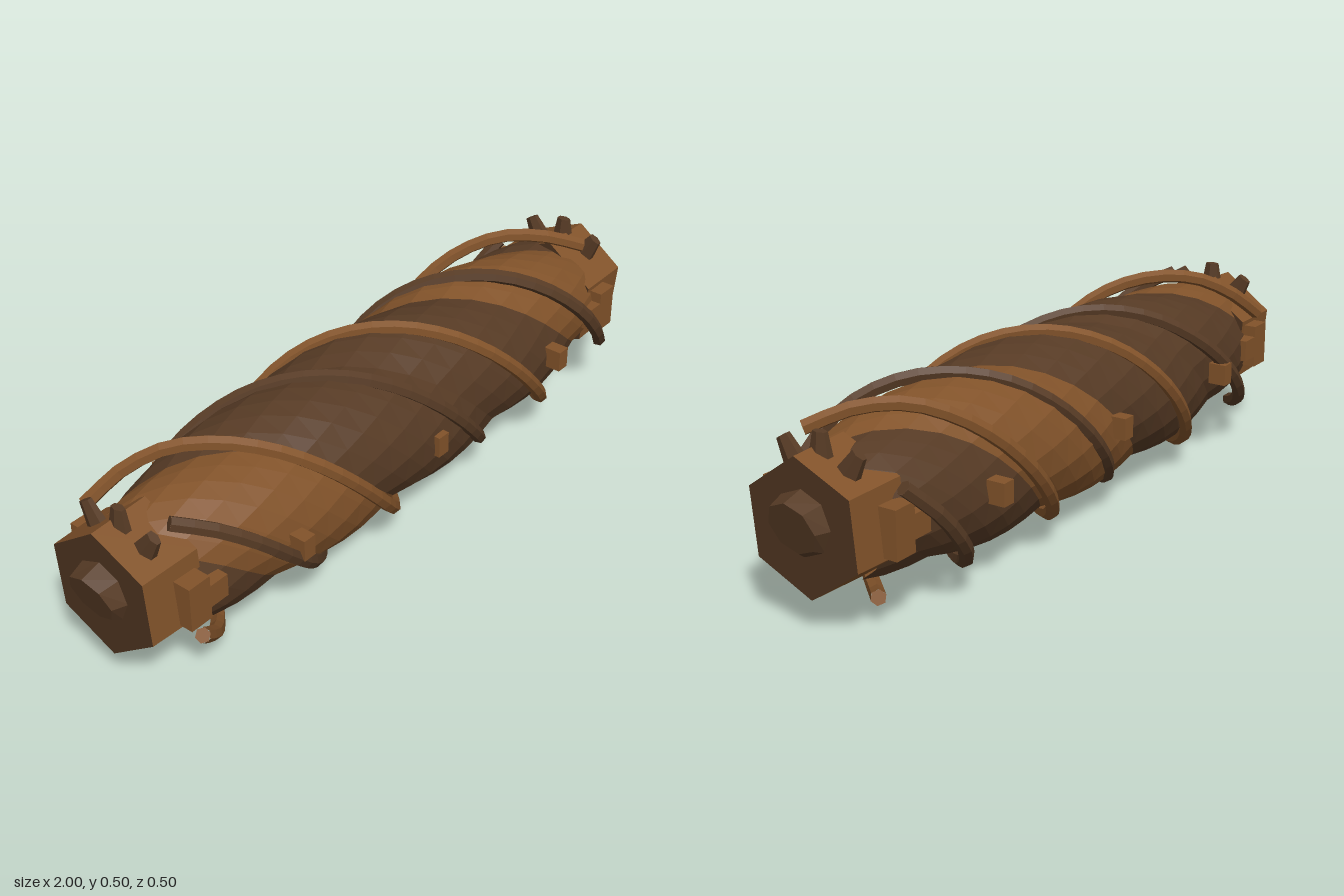
import * as THREE from 'three';

const CY = 0.25;             // height of the long axis
const TURN = 4.79;           // twist in radians per unit of length
const DEG = Math.PI / 180;

const material = (name, color) => {
  const m = new THREE.MeshStandardMaterial({ color, flatShading: true });
  m.name = name;
  return m;
};

// Point on the twisted grip: angle runs from +y towards +z
const around = (x, r, a) => new THREE.Vector3(x, CY + r * Math.cos(a), r * Math.sin(a));

// Radius of the grip, tapering into the collars at both ends
const gripRadius = (x) => 0.148 + 0.083 * Math.pow(Math.max(0, 1 - Math.pow(Math.abs(x) / 0.86, 2.8)), 0.85);

// One third of the grip, a bulging strand that winds along x
function strandGeometry(centre) {
  const along = 28, across = 6, pos = [], idx = [];
  for (let i = 0; i <= along; i++) {
    const x = -0.84 + 1.68 * i / along;
    for (let j = 0; j <= across; j++) {
      const u = j / across;
      const r = gripRadius(x) * (0.9 + 0.085 * Math.sin(Math.PI * u));
      pos.push(...around(x, r, centre + TURN * x + (u - 0.5) * 120 * DEG).toArray());
    }
  }
  for (let i = 0; i < along; i++) {
    for (let j = 0; j < across; j++) {
      const a = i * (across + 1) + j, b = a + 1, c = a + across + 1, d = c + 1;
      idx.push(a, b, c, b, d, c);
    }
  }
  const g = new THREE.BufferGeometry();
  g.setAttribute('position', new THREE.Float32BufferAttribute(pos, 3));
  g.setIndex(idx);
  g.computeVertexNormals();
  return g;
}

// End boss: eight-sided stub whose outer face slopes back towards the bottom
function bossGeometry() {
  const g = new THREE.CylinderGeometry(0.066, 0.082, 0.06, 8);
  g.rotateZ(-Math.PI / 2);
  const p = g.attributes.position;
  for (let i = 0; i < p.count; i++) {
    if (p.getX(i) > 0) p.setX(i, 0.03 + 0.3 * (p.getY(i) - 0.066));
  }
  g.computeVertexNormals();
  return g;
}

export function createModel() {
  const model = new THREE.Group();
  model.name = 'twistedGrip';
  const light = material('light wood', 0x82532a);
  const dark = material('dark wood', 0x573b25);
  const end = material('end grain', 0x4c331f);

  const add = (parent, name, geometry, mat) => {
    const mesh = new THREE.Mesh(geometry, mat);
    mesh.name = name;
    parent.add(mesh);
    return mesh;
  };
  const box = (parent, name, w, h, d, x, y, z) => {
    add(parent, name, new THREE.BoxGeometry(w, h, d), light).position.set(x, y, z);
  };

  // Three thick strands of the grip
  [light, dark, dark].forEach((mat, k) => {
    add(model, 'strand', strandGeometry((217 + 120 * k) * DEG), mat);
  });

  // Four vines wound round the grip: light ones stand proud, dark ones sink in
  // and drift towards their light neighbours in the middle
  for (let k = 0; k < 4; k++) {
    const sunk = k % 2 === 1;
    const mat = sunk ? dark : light;
    const points = [];
    for (let i = 0; i <= 20; i++) {
      const x = -0.82 + 1.64 * i / 20;
      const inward = 0.82 - Math.abs(x);
      const dip = sunk ? 0.012 * Math.min(1, Math.max(0, (inward - 0.2) / 0.2)) : 0;
      const drift = sunk ? 16 * Math.sin(Math.PI * i / 20) : 0;
      const r = 0.206 + 0.025 * Math.min(1, inward / 0.17) - dip;
      points.push(around(x, r, (29 + 90 * k - drift) * DEG + TURN * (x - 0.82)));
    }
    const curve = new THREE.CatmullRomCurve3(points);
    add(model, 'vine', new THREE.TubeGeometry(curve, 44, 0.019, 6), mat);
    // Closed tips of the vine
    [0, 1].forEach((t) => {
      const tip = add(model, 'vineTip', new THREE.CircleGeometry(0.019, 6), mat);
      const dir = curve.getTangentAt(t).multiplyScalar(t ? 1 : -1);
      tip.position.copy(curve.getPointAt(t));
      tip.quaternion.setFromUnitVectors(new THREE.Vector3(0, 0, 1), dir);
    });
  }

  // Small studs along the front and back
  for (const side of [-1, 1]) {
    for (const x of [-0.525, 0, 0.525]) {
      const out = x === 0 && side > 0 ? 0.239 : 0.248;
      box(model, 'stud', 0.038, 0.058, 0.05, x, 0.253, side * (out - 0.025));
    }
  }

  // Matching fittings at both ends
  for (const turn of [0, Math.PI]) {
    const fitting = new THREE.Group();
    fitting.name = turn ? 'rightEnd' : 'leftEnd';
    fitting.rotation.y = turn;
    model.add(fitting);

    // Six-sided collar with dark end faces
    const collar = new THREE.CylinderGeometry(0.166, 0.172, 0.165, 6);
    collar.rotateZ(-Math.PI / 2).rotateX(-Math.PI / 2 + 0.1);
    add(fitting, 'collar', collar, [light, end, end]).position.set(0.8625, 0.255, 0);

    // Sloping boss on the end
    add(fitting, 'boss', bossGeometry(), dark).position.set(0.97, 0.268, 0);

    // Three blunt spikes on top
    for (const a of [-32, 0, 32]) {
      const spike = new THREE.CylinderGeometry(0.02, 0.034, 0.07, 6);
      spike.rotateY(Math.PI / 6).scale(0.6, 1, 1).translate(0, 0.17, 0).rotateX(a * DEG);
      add(fitting, 'spike', spike, dark).position.set(0.875, 0.255, 0);
    }

    // Cross-shaped side plates
    for (const side of [-1, 1]) {
      box(fitting, 'sidePlate', 0.065, 0.12, 0.05, 0.828, 0.253, side * 0.165);
      box(fitting, 'sidePlateArm', 0.06, 0.06, 0.05, 0.77, 0.253, side * 0.165);
    }
  }
  return model;
}
